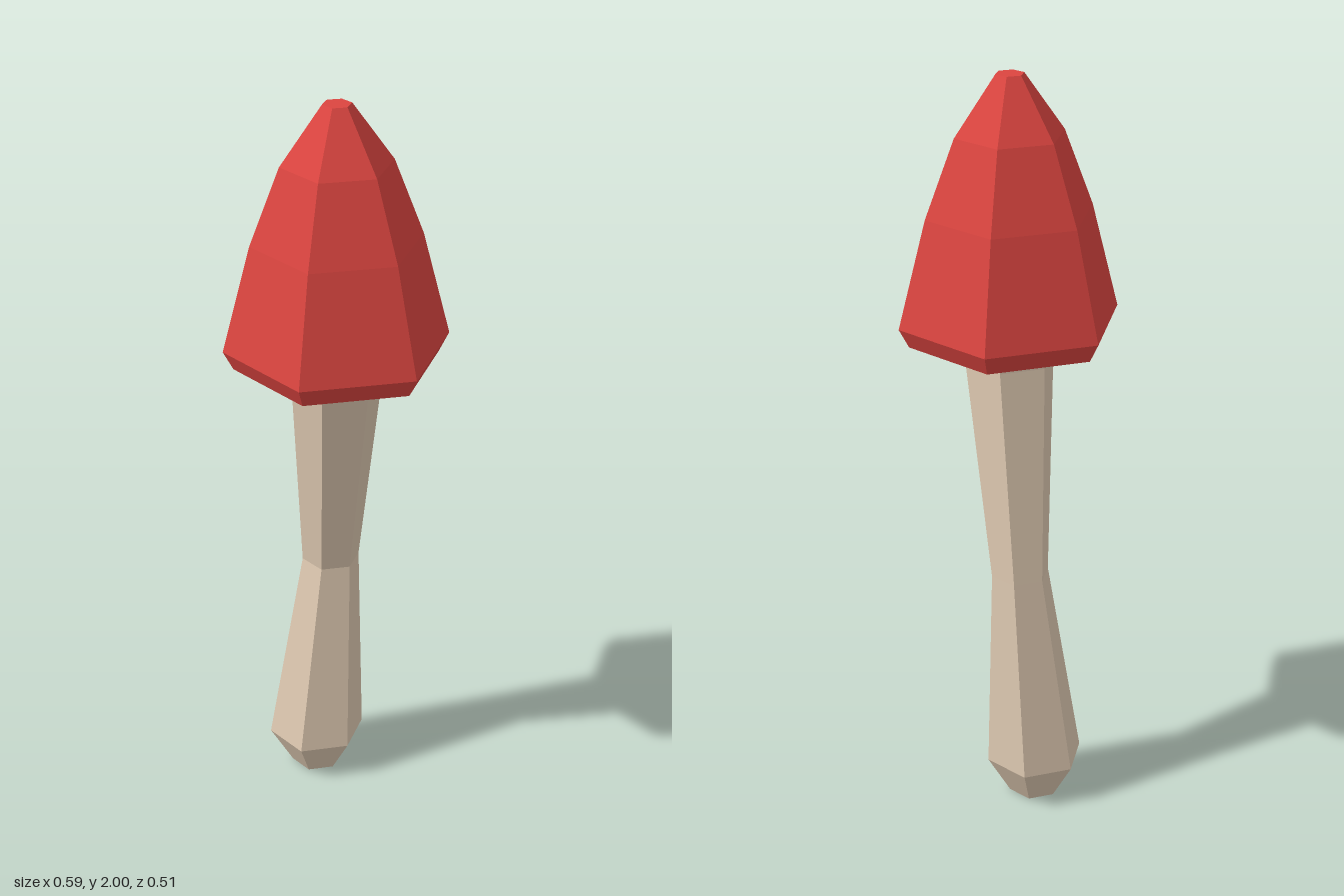
import * as THREE from 'three';

const SIDES = 6;

// Six-sided turned solid; each profile row is [radius, y, centreX, centreZ]
function hexLathe(rows) {
  const points = rows.map(([r, y]) => new THREE.Vector2(r, y));
  const geometry = new THREE.LatheGeometry(points, SIDES, Math.PI / 6);
  const pos = geometry.attributes.position;
  for (let i = 0; i < pos.count; i++) {
    const [, , cx = 0, cz = 0] = rows[i % rows.length];
    pos.setX(i, pos.getX(i) + cx);
    pos.setZ(i, pos.getZ(i) + cz);
  }
  geometry.computeVertexNormals();
  return geometry;
}

export function createModel() {
  const group = new THREE.Group();
  group.name = 'mushroom';

  const red = new THREE.MeshStandardMaterial({ color: 0xdb4540, flatShading: true });
  red.name = 'capRed';
  const beige = new THREE.MeshStandardMaterial({ color: 0xdfcab2, flatShading: true });
  beige.name = 'stemBeige';

  // Hollow cap: inside wall down to the rim, then the outside up to the flat tip
  const cap = new THREE.Mesh(hexLathe([
    [0, 1.8], [0.1, 1.8], [0.19, 1.62], [0.267, 1.32],
    [0.293, 1.37], [0.22, 1.65], [0.143, 1.85], [0.037, 2], [0, 2],
  ]), red);
  cap.name = 'cap';

  // Crooked stem with a bulbous foot, running up inside the cap
  const stem = new THREE.Mesh(hexLathe([
    [0, 0, -0.042, -0.09], [0.07, 0, -0.042, -0.09], [0.133, 0.11, -0.042, -0.09],
    [0.078, 0.68, 0, -0.088], [0.119, 1.26], [0.115, 1.5], [0, 1.5],
  ]), beige);
  stem.name = 'stem';

  group.add(cap, stem);
  return group;
}
